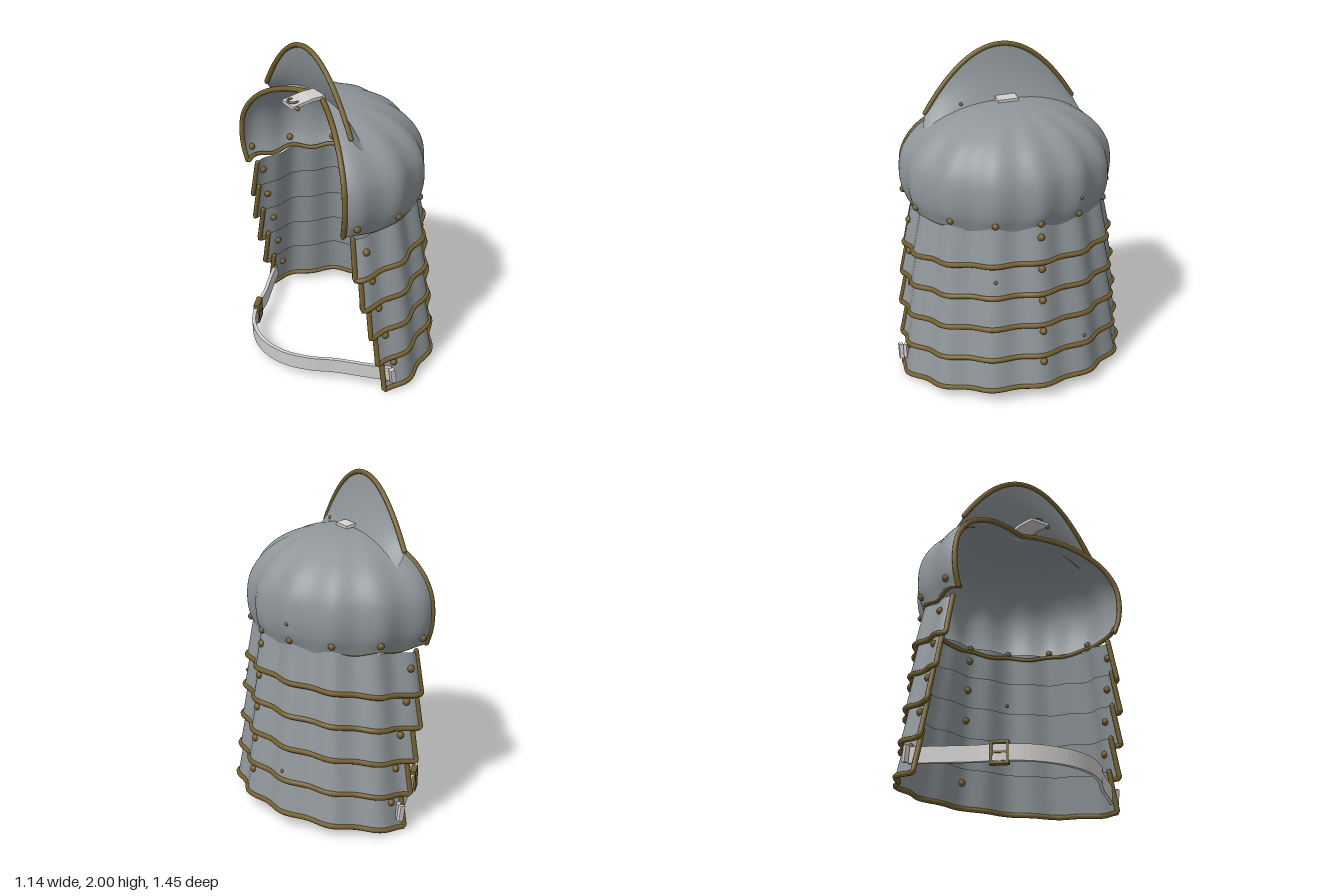
import * as THREE from 'three';
import { ParametricGeometry } from 'three/addons/geometries/ParametricGeometry.js';

const mat = (name, color, side = THREE.FrontSide) => {
  const m = new THREE.MeshStandardMaterial({ color, side });
  m.name = name;
  return m;
};
const V = (x, y, z) => new THREE.Vector3(x, y, z);
const lerp = THREE.MathUtils.lerp;
const flute = (t) => Math.cos(14 * t);

export function createModel() {
  const steel = mat('steel', 0x8f969a, THREE.DoubleSide);
  const brass = mat('brass', 0x74602f);
  const leather = mat('pale leather', 0xcfcecc);
  const model = new THREE.Group();
  model.name = 'shoulderArmor';

  const add = (name, geo, material, parent = model) => {
    const m = new THREE.Mesh(geo, material);
    m.name = name;
    parent.add(m);
    return m;
  };
  const sheet = (name, f, nu, nv, parent) =>
    add(name, new ParametricGeometry((u, v, p) => p.copy(f(u, v)), nu, nv), steel, parent);
  const trim = (name, pts, r, parent) => {
    const curve = new THREE.CatmullRomCurve3(pts);
    add(name, new THREE.TubeGeometry(curve, 180, r, 8), brass, parent);
    for (const p of [pts[0], pts[pts.length - 1]])
      add(name + 'End', new THREE.SphereGeometry(r, 8, 6), brass, parent).position.copy(p);
  };
  const rivetGeo = new THREE.SphereGeometry(1, 12, 8);
  const rivet = (p, r, parent) => {
    const m = add('rivet', rivetGeo, brass, parent);
    m.position.copy(p);
    m.scale.setScalar(r);
  };
  const sample = (n, f) => Array.from({ length: n + 1 }, (_, i) => f(i / n));

  // Fluted dome: a swept profile around the shoulder, open toward the neck
  const dome = new THREE.Group();
  dome.name = 'dome';
  model.add(dome);
  const profile = new THREE.CatmullRomCurve3([
    [0.94, 1.085], [0.985, 1.17], [1, 1.27], [0.98, 1.37], [0.92, 1.45], [0.81, 1.53],
    [0.65, 1.597], [0.45, 1.647], [0.2, 1.675], [0.002, 1.68],
  ].map(([r, y]) => V(r, y, 0)));
  const domeX = -0.13, domeEnd = 1.912;
  const domePoint = (t, v, grow = 1) => {
    const p = profile.getPoint(v);
    const k = p.x * grow;
    const R = lerp(0.592, 0.632, Math.sin(t) ** 2) + 0.012 * flute(t) * Math.min(1, 2 * k);
    const drop = 0.01 * flute(t) * Math.max(0, 1 - v * 8);
    return V(domeX + R * k * Math.cos(t), p.y + drop, R * k * Math.sin(t));
  };
  sheet('domeShell', (u, v) => domePoint(lerp(-domeEnd, domeEnd, u), v), 120, 40, dome);
  for (const s of [-1, 1])
    trim('domeRim', sample(30, (v) => domePoint(s * domeEnd, v)), 0.016, dome);
  trim('domeLowerTrim', sample(60, (u) => domePoint(lerp(-domeEnd, domeEnd, u), 0, 0.975)), 0.013, dome);
  for (let i = -4; i <= 4; i++)
    rivet(domePoint(i * 0.449, 0.045 + 0.005 * Math.abs(i)), 0.021, dome);
  rivet(domePoint(-0.445, 0.18), 0.011, dome);

  // Five overlapping lames, each wider than the one above
  const cx = -0.1, height = 0.245, tilt = 0.12;
  const endX = [-0.275, -0.245, -0.205, -0.165, -0.12];
  const endY = [0.8, 0.607, 0.412, 0.217, 0.022];
  for (let i = 0; i < 5; i++) {
    const g = new THREE.Group();
    g.name = 'lame' + (i + 1);
    model.add(g);
    const a = 0.572 + 0.0175 * i, b = 0.632 + 0.0195 * i;
    const end = Math.acos((endX[i] - cx) / a);
    // v = 0 at the lower edge, 1 at the upper edge
    const point = (t, v) => {
      const f = 0.016 * (flute(t) - 0.4);
      const x = cx + (a - 0.042 * v + f) * Math.cos(t);
      const z = (b - 0.052 * v + f) * Math.sin(t);
      return V(x, endY[i] + height * v + tilt * (x - endX[i]), z);
    };
    sheet('plate', (u, v) => point(lerp(-end, end, u), v), 110, 8, g);
    trim('edgeTrim', [
      ...sample(6, (k) => point(-end, 1 - k * 0.98)),
      ...sample(70, (k) => point(lerp(-end, end, 0.004 + k * 0.992), 0)),
      ...sample(6, (k) => point(end, 0.02 + k * 0.98)),
    ], 0.0155, g);
    for (const t of [-end + 0.13, 0, end - 0.13]) rivet(point(t, 0.63), 0.022, g);
    if (i === 1) rivet(point(0.43, 0.4), 0.011, g);
    if (i === 3) rivet(point(-0.42, 0.2), 0.011, g);
  }

  // Upright neck guard rising from the dome
  const guard = new THREE.Group();
  guard.name = 'neckGuard';
  model.add(guard);
  const guardRim = (s) => V(-0.222, 1.99 - 0.37 * s * s, 0.465 * s);
  const guardPoint = (s, v) => {
    const base = V(-0.128 - 0.02 * s * s, 1.68 - 0.15 * Math.abs(s) ** 2.6, 0.5 * s);
    const p = base.lerp(guardRim(s), v);
    p.x -= 0.012 * Math.sin(Math.PI * v);
    return p;
  };
  sheet('guardPlate', (u, v) => guardPoint(u * 2 - 1, v), 60, 10, guard);
  trim('guardTrim', sample(40, (u) => guardRim(u * 2 - 1)), 0.015, guard);
  rivet(guardPoint(0.54, 0.1), 0.011, guard);

  // Short tab passing through the neck guard, with its fastener
  const tab = new THREE.Group();
  tab.name = 'topTab';
  model.add(tab);
  const tabShape = new THREE.Shape();
  [[-0.345, 1.662], [-0.22, 1.683], [-0.13, 1.684], [-0.075, 1.678],
    [-0.075, 1.695], [-0.13, 1.705], [-0.22, 1.702], [-0.345, 1.681]]
    .forEach(([x, y], k) => (k ? tabShape.lineTo(x, y) : tabShape.moveTo(x, y)));
  const tabGeo = new THREE.ExtrudeGeometry(tabShape, { depth: 0.124, bevelEnabled: false });
  add('tabStrap', tabGeo.translate(0, 0, -0.062), leather, tab);
  const hook = add('tabHook', new THREE.TorusGeometry(0.03, 0.007, 8, 20, 4.2), brass, tab);
  hook.rotation.set(Math.PI / 2, 0, 1);
  hook.position.set(-0.31, 1.69, 0);
  rivet(V(-0.32, 1.668, 0.07), 0.013, tab);

  // Arm strap, bowed around the open side of the lowest lame
  const strap = new THREE.Group();
  strap.name = 'armStrap';
  model.add(strap);
  const half = [[-0.07, 0.69], [-0.18, 0.57], [-0.3, 0.435], [-0.42, 0.325], [-0.52, 0.18]];
  const path = new THREE.SplineCurve([
    ...half.map(([x, z]) => new THREE.Vector2(x, z)),
    new THREE.Vector2(-0.558, 0),
    ...half.slice().reverse().map(([x, z]) => new THREE.Vector2(x, -z)),
  ]);
  const side = (d) => sample(60, (t) => {
    const p = path.getPoint(t), q = path.getTangent(t);
    return new THREE.Vector2(p.x - q.y * d, -(p.y + q.x * d));
  });
  const strapShape = new THREE.Shape([...side(0.011), ...side(-0.011).reverse()]);
  const strapGeo = new THREE.ExtrudeGeometry(strapShape, { depth: 0.092, bevelEnabled: false });
  strapGeo.rotateX(-Math.PI / 2).rotateZ(0.04).translate(0, 0.083, 0);
  add('strapBand', strapGeo, leather, strap);
  // Strap ends folded onto the outside of the lame
  for (const s of [-1, 1]) {
    const loop = add('strapEnd', new THREE.BoxGeometry(0.03, 0.095, 0.025), leather, strap);
    loop.position.set(-0.08, 0.13, 0.713 * s);
    loop.rotation.z = 0.15;
  }

  // Square buckle on the strap
  const buckle = new THREE.Group();
  buckle.name = 'buckle';
  strap.add(buckle);
  buckle.position.set(-0.412, 0.113, -0.332);
  buckle.rotation.y = Math.atan2(-0.75, -0.65);
  for (const s of [-1, 1]) {
    add('buckleBar', new THREE.BoxGeometry(0.105, 0.016, 0.036), brass, buckle).position.y = 0.058 * s;
    add('bucklePost', new THREE.BoxGeometry(0.016, 0.13, 0.036), brass, buckle).position.x = 0.045 * s;
  }
  add('bucklePin', new THREE.BoxGeometry(0.09, 0.012, 0.036), brass, buckle);
  return model;
}
